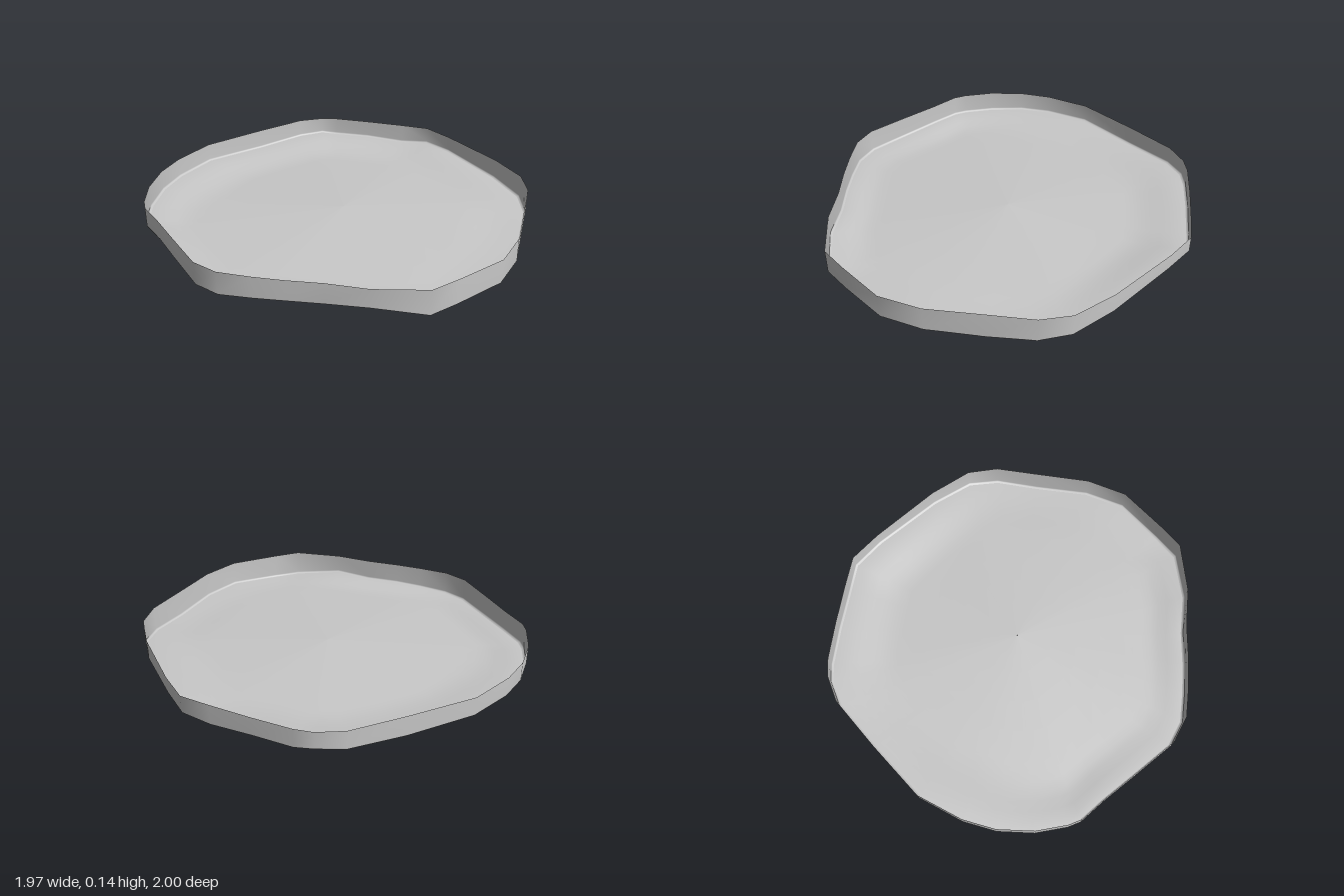
import * as THREE from 'three';

// Rim corners, counter-clockwise from the front: [x, z, height of the wall's lower edge]
const RIM = [
  [-0.14, 1, 0.012], [0.08, 0.975, 0.008], [0.35, 0.875, 0], [0.57, 0.795, 0.008],
  [0.70, 0.695, 0.02], [0.81, 0.485, 0.035], [0.94, 0.11, 0.056], [0.984, -0.07, 0.05],
  [0.935, -0.22, 0.036], [0.86, -0.43, 0.046], [0.785, -0.62, 0.044], [0.735, -0.70, 0.052],
  [0.625, -0.79, 0.044], [0.35, -0.89, 0.036], [0.01, -1, 0.044], [-0.24, -0.995, 0.04],
  [-0.41, -0.955, 0.036], [-0.58, -0.87, 0.03], [-0.71, -0.765, 0.03], [-0.755, -0.71, 0.03],
  [-0.81, -0.56, 0.034], [-0.89, -0.37, 0.026], [-0.984, -0.14, 0.018], [-0.984, 0, 0.018],
  [-0.925, 0.15, 0.025], [-0.86, 0.29, 0.03], [-0.775, 0.45, 0.03], [-0.695, 0.64, 0.04],
  [-0.545, 0.86, 0.005], [-0.40, 0.915, 0.007],
];
const TOP = 0.145;
const { lerp, smoothstep } = THREE.MathUtils;

// Floor height: a low cone in the middle, then a rise to the wall's foot, farther out on the right
function floorHeight(s, edge, x) {
  const start = 0.66 + 0.14 * smoothstep(-x, 0.2, 0.8);
  return lerp(0.05 - 0.048 * s, edge, smoothstep(s, start, 0.96));
}

// Joins closed rings of points into one smooth skin
function skin(rings) {
  const n = rings[0].length, index = [];
  for (let r = 0; r < rings.length - 1; r++) {
    for (let i = 0; i < n; i++) {
      const j = (i + 1) % n, a = r * n + i, b = r * n + j;
      index.push(a, b, b + n, a, b + n, a + n);
    }
  }
  const g = new THREE.BufferGeometry();
  g.setAttribute('position', new THREE.Float32BufferAttribute(rings.flat(2), 3));
  g.setIndex(index);
  g.computeVertexNormals();
  return g;
}

export function createModel() {
  const group = new THREE.Group();
  const grey = new THREE.MeshStandardMaterial({ color: 0xc8c8c8, side: THREE.DoubleSide });
  grey.name = 'grey';

  // Ring of the rim outline, scaled inward, with a height rule
  const ring = (s, height) => RIM.map(([x, z, y]) => [x * s, height(y, x), z * s]);

  // Upright wall, rounded at its foot
  const wallRings = [
    ring(0.988, (y) => y), ring(0.997, (y) => y + 0.003),
    ring(1, (y) => y + 0.01), ring(1, () => TOP),
  ];
  const wall = new THREE.Mesh(skin(wallRings), grey);
  wall.name = 'wall';

  // Gently sloping floor, from the wall's foot in to the centre
  const steps = [0.988, 0.95, 0.9, 0.85, 0.8, 0.75, 0.7, 0.65, 0.5, 0.35, 0.2, 0.1, 0.001];
  const floor = new THREE.Mesh(
    skin(steps.map((s) => ring(s, (y, x) => floorHeight(s, y, x)))), grey);
  floor.name = 'floor';

  group.add(wall, floor);
  return group;
}
